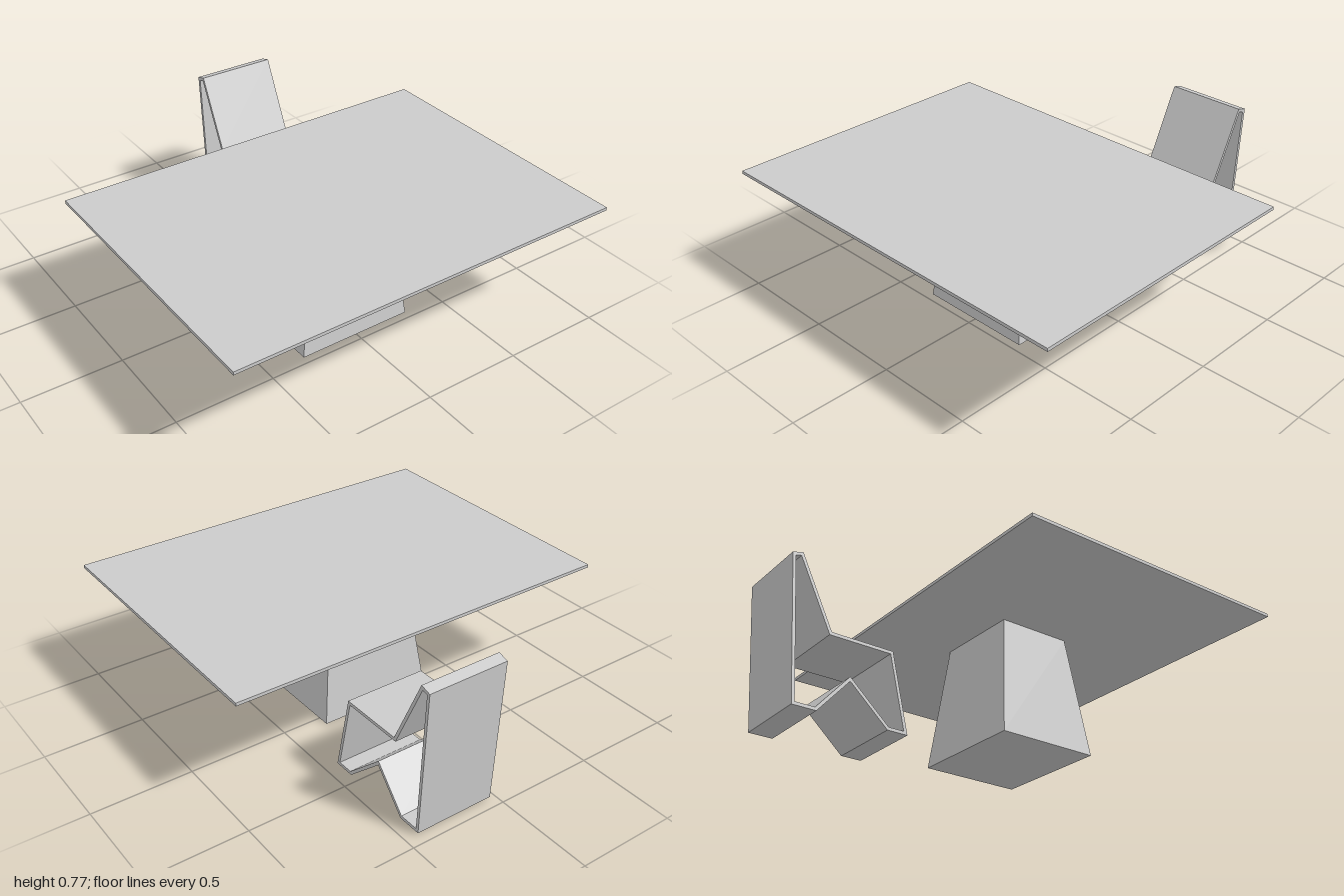
import * as THREE from 'three';

const material = new THREE.MeshStandardMaterial({ color: 0xcccccc, flatShading: true });

function addMesh(group, name, geometry) {
  const mesh = new THREE.Mesh(geometry, material);
  mesh.name = name;
  group.add(mesh);
  return mesh;
}

// Moves every edge of a counter-clockwise outline inward by t, with mitred corners
function inset(points, t) {
  const n = points.length;
  const normal = (a, b) => {
    const d = b.clone().sub(a).normalize();
    return new THREE.Vector2(-d.y, d.x);
  };
  return points.map((p, i) => {
    const n1 = normal(points[(i + n - 1) % n], p);
    const n2 = normal(p, points[(i + 1) % n]);
    return n1.clone().add(n2).multiplyScalar(t / (1 + n1.dot(n2))).add(p);
  });
}

// Tapered block: a box whose top corners are pulled inward
function taperedBlock(width, height, depth, topWidth, topDepth) {
  const geometry = new THREE.BoxGeometry(width, height, depth);
  const pos = geometry.attributes.position;
  for (let i = 0; i < pos.count; i++) {
    if (pos.getY(i) > 0) {
      pos.setX(i, Math.sign(pos.getX(i)) * topWidth / 2);
      pos.setZ(i, Math.sign(pos.getZ(i)) * topDepth / 2);
    }
  }
  geometry.translate(0, height / 2, 0);
  geometry.computeVertexNormals();
  return geometry;
}

// Chair: one folded sheet forming a closed loop, extruded sideways
function chairGeometry(width) {
  const outline = [
    [0.355, 0.013], [0.463, 0.013], [0.667, 0.198], [0.828, 0.013], [0.95, 0.013],
    [0.998, 0.752], [0.945, 0.767], [0.775, 0.412], [0.447, 0.412],
  ].map(([u, v]) => new THREE.Vector2(u, v));
  const shape = new THREE.Shape(outline);
  shape.holes.push(new THREE.Path(inset(outline, 0.016)));
  const geometry = new THREE.ExtrudeGeometry(shape, { depth: width, bevelEnabled: false });
  return geometry.rotateY(Math.PI / 2);
}

export function createModel() {
  const model = new THREE.Group();
  model.name = 'tableAndChair';

  // Table
  const table = new THREE.Group();
  table.name = 'table';
  addMesh(table, 'tableTop', new THREE.BoxGeometry(1.99, 0.016, 1.452)).position.set(-0.003, 0.625, 0.273);
  addMesh(table, 'pedestal', taperedBlock(0.6, 0.617, 0.52, 0.44, 0.38)).position.set(-0.003, 0, 0.2);
  model.add(table);

  // Chair behind the table
  addMesh(model, 'chair', chairGeometry(0.404)).position.x = 0.034;

  return model;
}
